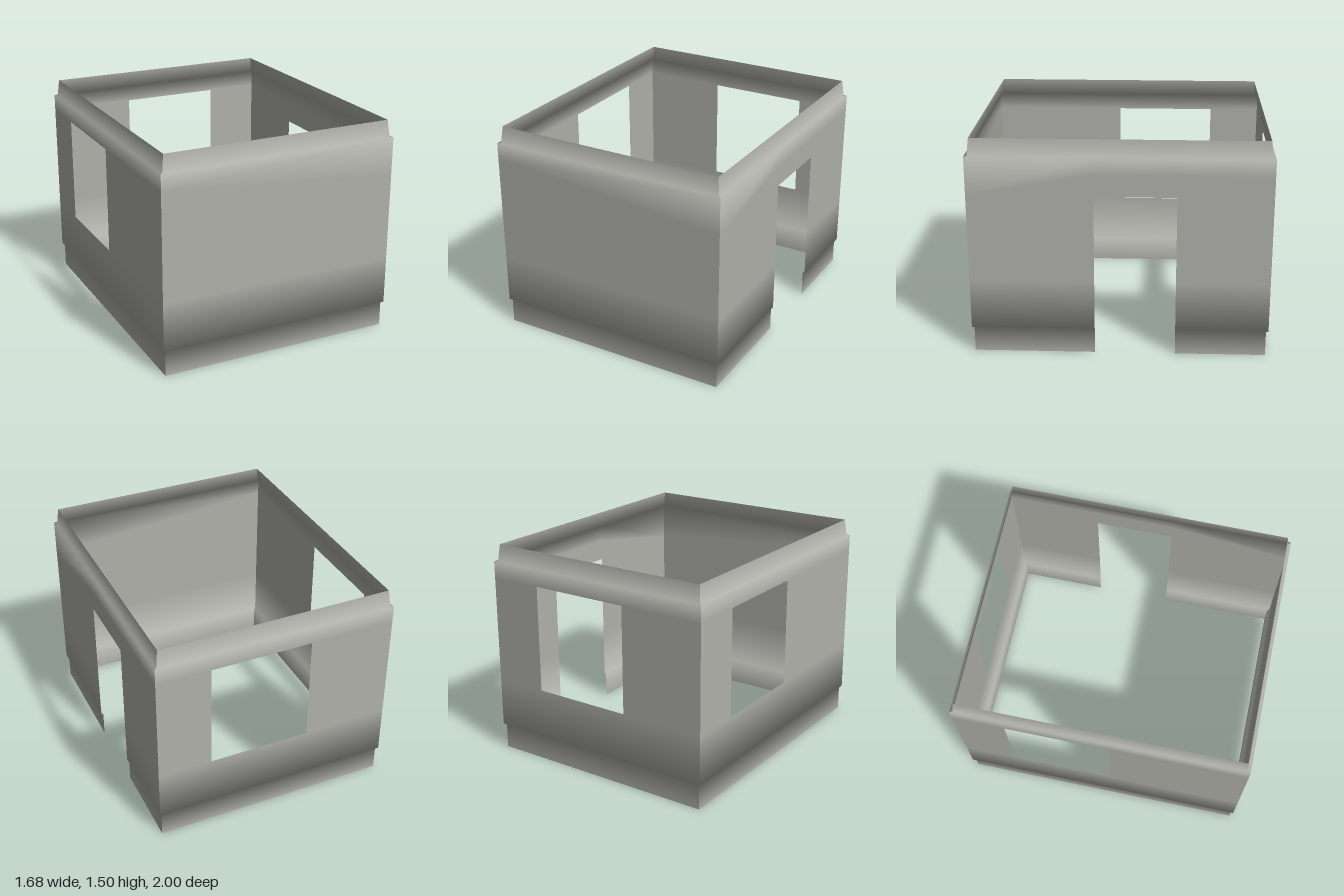
import * as THREE from 'three';

const HALF_X = 0.84, HALF_Z = 1.0;

// Vertical profile, bottom to top: [height, inset, upward lean of the normal].
// A null height follows the shoulder line of each column.
const PROFILE = [
  [0, 0.015, 0],
  [0.18, 0.015, -0.8],
  [0.18, 0, -0.8],
  [0.525, 0, 0],
  [1.125, 0, 0],
  [null, 0, 0],
  [1.385, 0, 0.8],
  [1.385, 0.018, 0.8],
  [1.503, 0.032, 0.13],
];

// One wall facing +z. columns: [u, shoulder height]; opening: skipped column and row range.
function wallGeometry(half, depth, columns, opening) {
  const position = [], normal = [], index = [];
  const n = columns.length;
  for (const [height, inset, lean] of PROFILE) {
    columns.forEach(([u, shoulder], i) => {
      const atEnd = i === 0 || i === n - 1;
      const x = atEnd ? Math.sign(u) * (half - inset) : u; // mitred corners
      position.push(x, height ?? shoulder, depth - inset);
      const len = Math.hypot(lean, 1);
      normal.push(0, lean / len, 1 / len);
    });
  }
  for (let r = 0; r < PROFILE.length - 1; r++) {
    for (let c = 0; c < n - 1; c++) {
      if (opening && c === opening.column && r >= opening.from && r < opening.to) continue;
      const a = r * n + c, b = a + 1, d = a + n, e = d + 1;
      index.push(a, b, e, a, e, d);
    }
  }
  const g = new THREE.BufferGeometry();
  g.setAttribute('position', new THREE.Float32BufferAttribute(position, 3));
  g.setAttribute('normal', new THREE.Float32BufferAttribute(normal, 3));
  g.setIndex(index);
  return g;
}

export function createModel() {
  const group = new THREE.Group();
  group.name = 'roomShell';
  const panel = new THREE.MeshStandardMaterial({ color: 0xb0b1aa, side: THREE.DoubleSide });
  panel.name = 'warm grey';

  const windowRows = { column: 1, from: 3, to: 5 };
  const doorRows = { column: 1, from: 0, to: 4 };
  const walls = [
    // solid front
    ['frontWall', 0, HALF_X, HALF_Z, [[-HALF_X, 1.27], [HALF_X, 1.126]], null],
    // doorway on the +x side
    ['doorWall', Math.PI / 2, HALF_Z, HALF_X,
      [[-HALF_Z, 1.126], [-0.167, 1.27], [0.375, 1.27], [HALF_Z, 1.27]], doorRows],
    // window at the back
    ['backWindowWall', Math.PI, HALF_X, HALF_Z,
      [[-HALF_X, 1.27], [-0.465, 1.27], [0.24, 1.27], [HALF_X, 1.27]], windowRows],
    // window on the -x side
    ['sideWindowWall', -Math.PI / 2, HALF_Z, HALF_X,
      [[-HALF_Z, 1.27], [-0.64, 1.27], [0.065, 1.27], [HALF_Z, 1.27]], windowRows],
  ];
  for (const [name, turn, half, depth, columns, opening] of walls) {
    const mesh = new THREE.Mesh(wallGeometry(half, depth, columns, opening), panel);
    mesh.name = name;
    mesh.rotation.y = turn;
    group.add(mesh);
  }
  return group;
}
